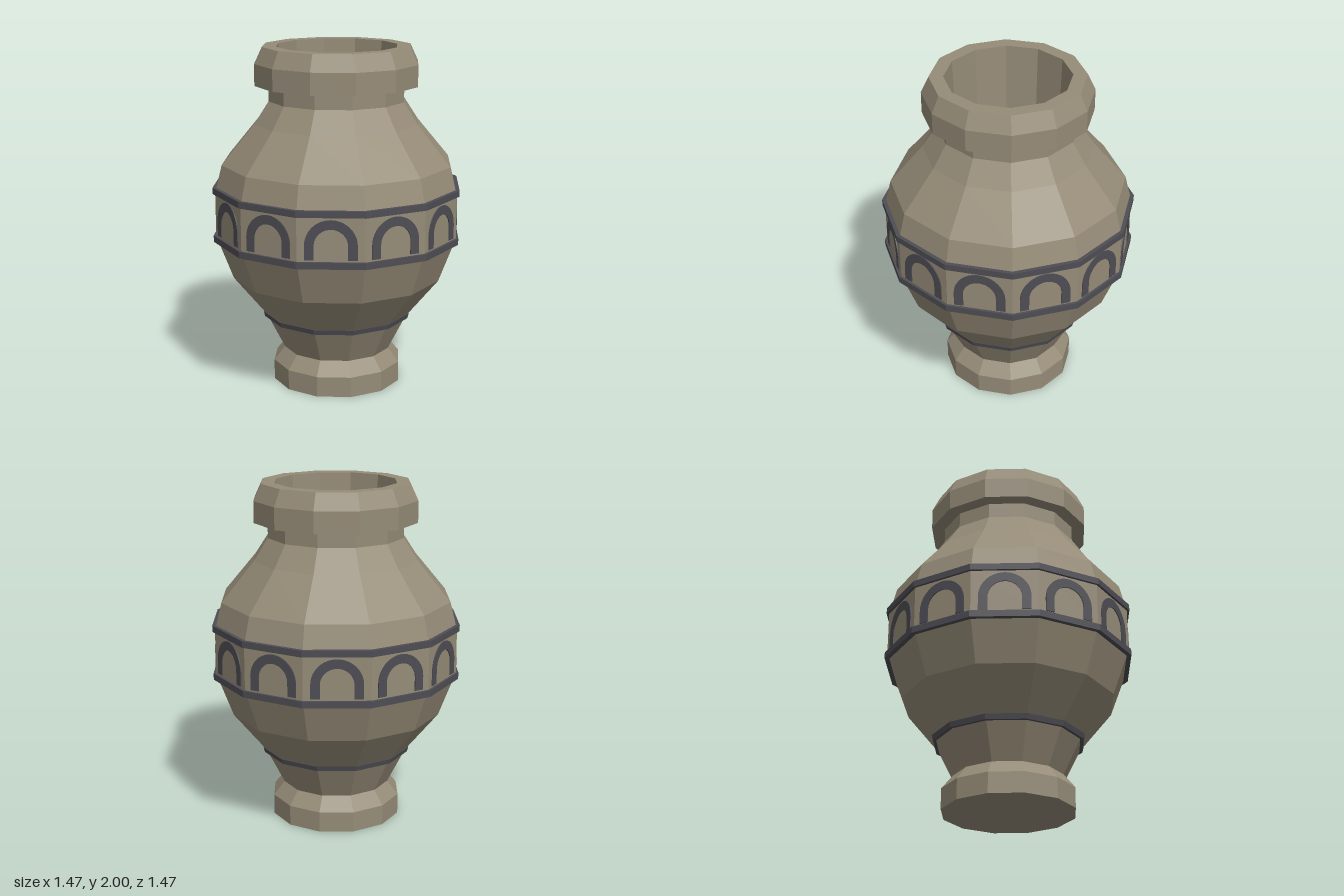
import * as THREE from 'three';

const SIDES = 12;

export function createModel() {
  const stone = new THREE.MeshStandardMaterial({ color: 0x968c78, flatShading: true });
  stone.name = 'stone';
  const trim = new THREE.MeshStandardMaterial({ color: 0x4e4d54, flatShading: true });
  trim.name = 'dark trim';

  const urn = new THREE.Group();
  urn.name = 'urn';

  const add = (name, geometry, material, parent = urn) => {
    const mesh = new THREE.Mesh(geometry, material);
    mesh.name = name;
    parent.add(mesh);
    return mesh;
  };
  // Twelve-sided turned part from [radius, height] pairs
  const turned = (name, profile, material) =>
    add(name, new THREE.LatheGeometry(profile.map(([r, y]) => new THREE.Vector2(r, y)), SIDES), material);

  // Foot, belly, shoulder, neck, rim and inner wall
  turned('foot', [[0, 0], [0.385, 0], [0.385, 0.12], [0.32, 0.2]], stone);
  turned('body', [
    [0.32, 0.2], [0.425, 0.41], [0.62, 0.65], [0.71, 0.89], [0.718, 0.9],
    [0.718, 1.18], [0.71, 1.2], [0.677, 1.33], [0.485, 1.56], [0.4, 1.69], [0.4, 1.78],
  ], stone);
  turned('rim', [[0.4, 1.78], [0.48, 1.78], [0.48, 1.905], [0.435, 2], [0.355, 2], [0.34, 1.55]], stone);
  turned('mouthFloor', [[0.34, 1.55], [0, 1.55]], trim);

  // Raised hoops around the body
  const hoop = (name, y0, y1, inner, r0, r1) =>
    turned(name, [[inner, y0], [r0, y0], [r1, y1], [inner, y1]], trim);
  hoop('lowerHoop', 0.4, 0.43, 0.4, 0.438, 0.446);
  hoop('friezeBottomHoop', 0.877, 0.915, 0.69, 0.733, 0.733);
  hoop('friezeTopHoop', 1.163, 1.2, 0.69, 0.733, 0.733);

  // One arch outline centred on each flat side of the frieze
  const base = 0.925, spring = 1.004, outer = 0.145, inner = 0.093;
  const shape = new THREE.Shape();
  shape.moveTo(outer, base);
  shape.lineTo(outer, spring);
  shape.absarc(0, spring, outer, 0, Math.PI, false);
  shape.lineTo(-outer, base);
  shape.lineTo(-inner, base);
  shape.lineTo(-inner, spring);
  shape.absarc(0, spring, inner, Math.PI, 0, true);
  shape.lineTo(inner, base);
  shape.closePath();
  const archGeometry = new THREE.ExtrudeGeometry(shape, { depth: 0.008, bevelEnabled: false, curveSegments: 10 });
  archGeometry.translate(0, 0, 0.718 * Math.cos(Math.PI / SIDES) - 0.002);

  const arches = new THREE.Group();
  arches.name = 'arches';
  urn.add(arches);
  for (let i = 0; i < SIDES; i++) {
    add('arch', archGeometry, trim, arches).rotation.y = ((i + 0.5) * 2 * Math.PI) / SIDES;
  }
  return urn;
}
